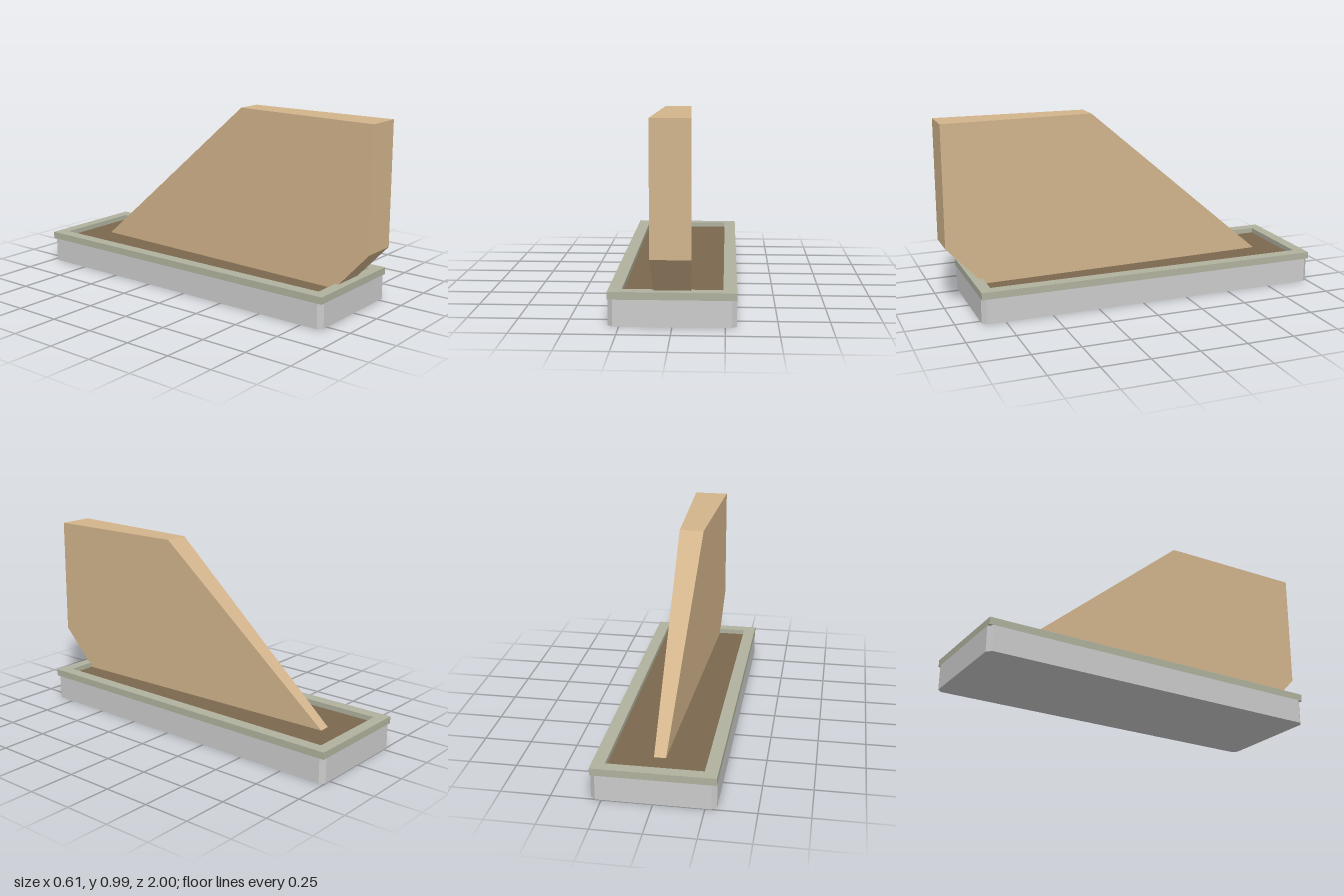
import * as THREE from 'three';

const makeMaterial = (color) => new THREE.MeshStandardMaterial({ color, flatShading: true });

// Rectangle in plan with cut corners; plan y becomes -z once laid flat
function plan(Ctor, x, zBack, zFront, cut = 0) {
  const pts = [
    [-x + cut, -zFront], [x - cut, -zFront], [x, -zFront + cut], [x, -zBack - cut],
    [x - cut, -zBack], [-x + cut, -zBack], [-x, -zBack - cut], [-x, -zFront + cut],
  ].filter((p, i) => cut > 0 || i % 2 === 0);
  return new Ctor(pts.map(([a, b]) => new THREE.Vector2(a, b)));
}

// Upright slab from a plan outline, between two heights
function slab(name, shape, y0, y1, color) {
  const geo = new THREE.ExtrudeGeometry(shape, { depth: y1 - y0, bevelEnabled: false });
  geo.rotateX(-Math.PI / 2).translate(0, y0, 0);
  const mesh = new THREE.Mesh(geo, makeMaterial(color));
  mesh.name = name;
  return mesh;
}

// Upright fin: side profile given as [z, y], width narrowing towards the back
function makeFin() {
  const profile = [[0.805, 0.14], [1, 0.35], [1, 0.99], [0.2, 0.99], [-0.8, 0.14]];
  const shape = new THREE.Shape(profile.map(([z, y]) => new THREE.Vector2(-z, y)));
  const geo = new THREE.ExtrudeGeometry(shape, { depth: 2, bevelEnabled: false });
  geo.translate(0, 0, -1).rotateY(Math.PI / 2);
  const pos = geo.attributes.position;
  for (let i = 0; i < pos.count; i++) {
    const halfWidth = 0.03 + (0.065 * (pos.getZ(i) + 0.8)) / 1.8;
    pos.setX(i, Math.sign(pos.getX(i)) * halfWidth);
  }
  geo.computeVertexNormals();
  const mesh = new THREE.Mesh(geo, makeMaterial(0xd2b48c));
  mesh.name = 'fin';
  return mesh;
}

export function createModel() {
  const group = new THREE.Group();
  group.name = 'finOnPlinth';

  // Plinth with chamfered corners
  group.add(slab('plinth', plan(THREE.Shape, 0.305, -1, 0.87, 0.024), 0, 0.13, 0xcccccc));

  // Square-cornered rim around the recess
  const rim = plan(THREE.Shape, 0.305, -1, 0.87);
  rim.holes.push(plan(THREE.Path, 0.24, -0.94, 0.81));
  group.add(slab('rim', rim, 0.13, 0.167, 0xb0b29e));

  // Recessed bed
  group.add(slab('bed', plan(THREE.Shape, 0.24, -0.94, 0.81), 0.13, 0.14, 0x7c674f));

  group.add(makeFin());
  return group;
}
